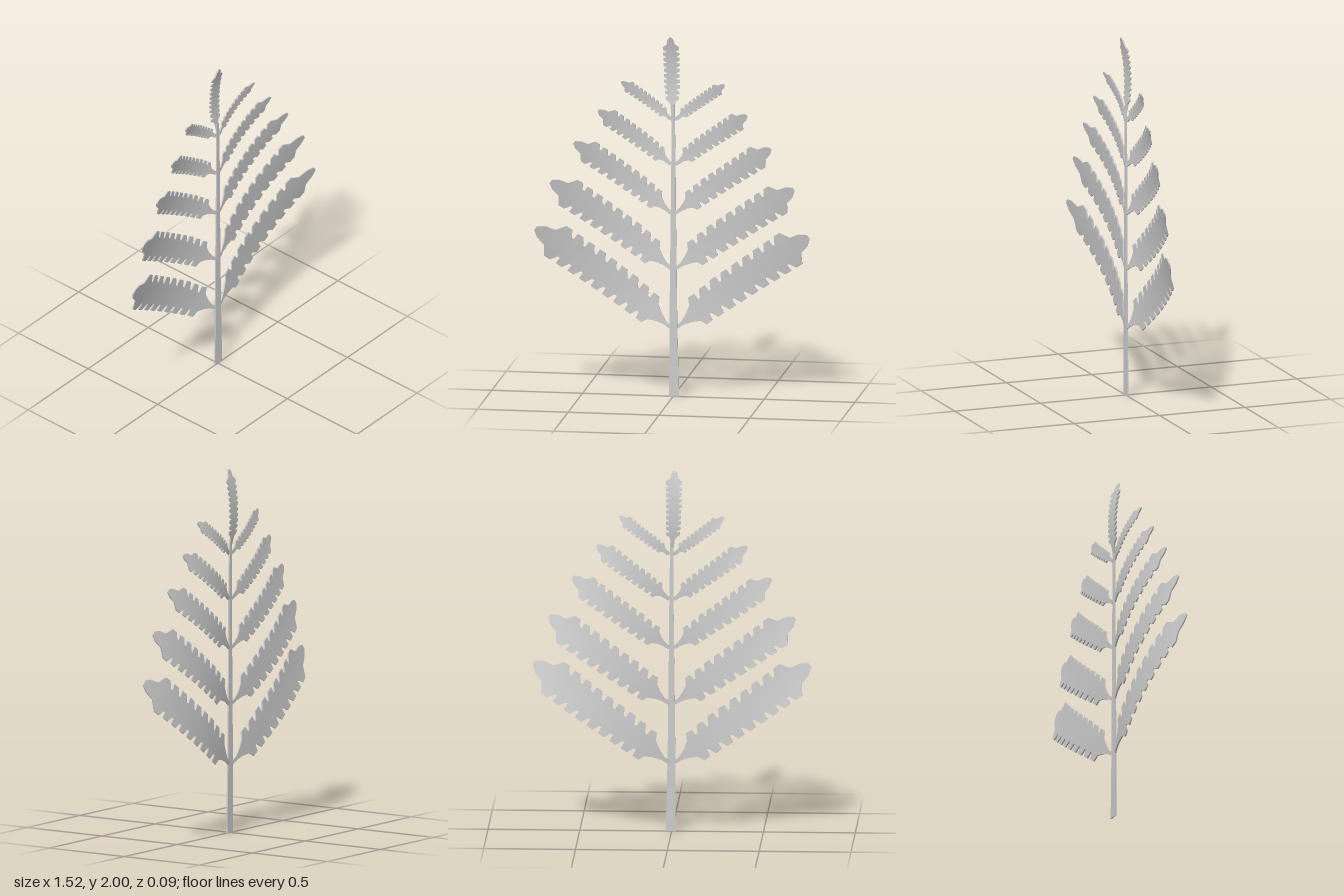
import * as THREE from 'three';

const material = new THREE.MeshStandardMaterial({ color: 0xcccccc, side: THREE.DoubleSide });
const THICKNESS = 0.008;

// Smooth surface through equal rows of points
function surface(rows) {
  const n = rows[0].length;
  const index = [];
  for (let i = 0; i < rows.length - 1; i++) {
    for (let j = 0; j < n - 1; j++) {
      const a = i * n + j, b = a + n;
      index.push(a, b, a + 1, b, b + 1, a + 1);
    }
  }
  const geometry = new THREE.BufferGeometry();
  geometry.setAttribute('position', new THREE.Float32BufferAttribute(rows.flat(2), 3));
  geometry.setIndex(index);
  geometry.computeVertexNormals();
  return new THREE.Mesh(geometry, material);
}

// Thin plate: front and back faces joined by a rim around the outline
function plate(name, rows) {
  const shift = (row, dz) => row.map(([x, y, z]) => [x, y, z + dz]);
  const h = THICKNESS / 2;
  const first = rows[0], last = rows[rows.length - 1];
  const outline = [...first, ...rows.slice(1).map((row) => row[row.length - 1]),
    ...last.slice(0, -1).reverse(), ...rows.slice(0, -1).reverse().map((row) => row[0])];
  const group = new THREE.Group();
  group.name = name;
  const faces = {
    front: rows.map((row) => shift(row, h)),
    back: rows.map((row) => shift(row, -h).reverse()),
    rim: [shift(outline, h), shift(outline, -h)],
  };
  for (const [part, points] of Object.entries(faces)) {
    const mesh = surface(points);
    mesh.name = `${name} ${part}`;
    group.add(mesh);
  }
  return group;
}

// Half-widths along a leaflet: [t, lower, upper], as fractions of length and of width
function toothedProfile(stalk, teeth) {
  const profile = [[0, stalk, stalk], [0.05, stalk * 1.2, stalk * 1.2], [0.1, 0.24, 0.3], [0.145, 0.44, 0.54]];
  const start = 0.155, end = 0.885, step = (end - start) / teeth;
  for (let i = 0; i < teeth; i++) {
    const t = start + i * step;
    const upper = 0.9 + 0.1 * Math.min(1, i / 2);
    const lower = 0.78 + 0.22 * (i / (teeth - 1));
    profile.push([t, lower, upper], [t + step * 0.52, lower, upper]);
    if (i < teeth - 1) profile.push([t + step * 0.68, lower - 0.36, upper - 0.36], [t + step * 0.86, lower - 0.36, upper - 0.36]);
  }
  profile.push([0.9, 0.5, 0.5], [0.96, 0.38, 0.38], [1, 0.13, 0.13]);
  return profile;
}

// Leaflet that arches back and curls forward at the tip
function leaflet(name, { x, y, length, width, angle, side = 1, teeth = 9 }) {
  const c = Math.cos(angle), s = Math.sin(angle);
  const rows = toothedProfile(0.009 / width, teeth).map(([t, lower, upper]) =>
    [-lower, -lower * 0.5, 0, upper * 0.5, upper].map((v) => {
      // Outer edges lean forward so the teeth point towards the tip
      const lean = Math.max(0, Math.abs(v) - 0.6) * width * 0.35;
      const along = t * length + lean;
      const across = v * width;
      const z = length * (-0.19 * t + 0.24 * t * t) + across * 0.06;
      return [side * (x + along * c - across * s), y + along * s + across * c, z];
    }));
  return plate(name, rows);
}

export function createModel() {
  const model = new THREE.Group();
  model.name = 'fernFrond';

  // Flat tapering stem: [y, right edge, left edge]
  const stem = [[0, -0.022, 0.032], [0.4, -0.021, 0.022], [0.75, -0.017, 0.018],
    [1.05, -0.013, 0.014], [1.35, -0.01, 0.012], [1.62, -0.011, 0.007]];
  model.add(plate('stem', stem.map(([y, a, b]) => [[b, y, 0], [a, y, 0]])));

  // Mirrored leaflet pairs: [base height, length, half-width, angle in degrees]
  const pairs = [
    [0.38, 0.915, 0.106, 36.2],
    [0.71, 0.808, 0.09, 35.7],
    [1.02, 0.652, 0.07, 35.8],
    [1.29, 0.492, 0.054, 36.3],
    [1.54, 0.34, 0.035, 37],
  ];
  pairs.forEach(([y, length, width, degrees], i) => {
    for (const side of [1, -1]) {
      model.add(leaflet(`${side > 0 ? 'left' : 'right'}Leaflet${i + 1}`,
        { x: 0.012, y, length, width, angle: THREE.MathUtils.degToRad(degrees), side }));
    }
  });

  // Upright leaflet at the top
  model.add(leaflet('topLeaflet',
    { x: -0.003, y: 1.58, length: 0.42, width: 0.044, angle: THREE.MathUtils.degToRad(91.5), teeth: 10 }));

  return model;
}
